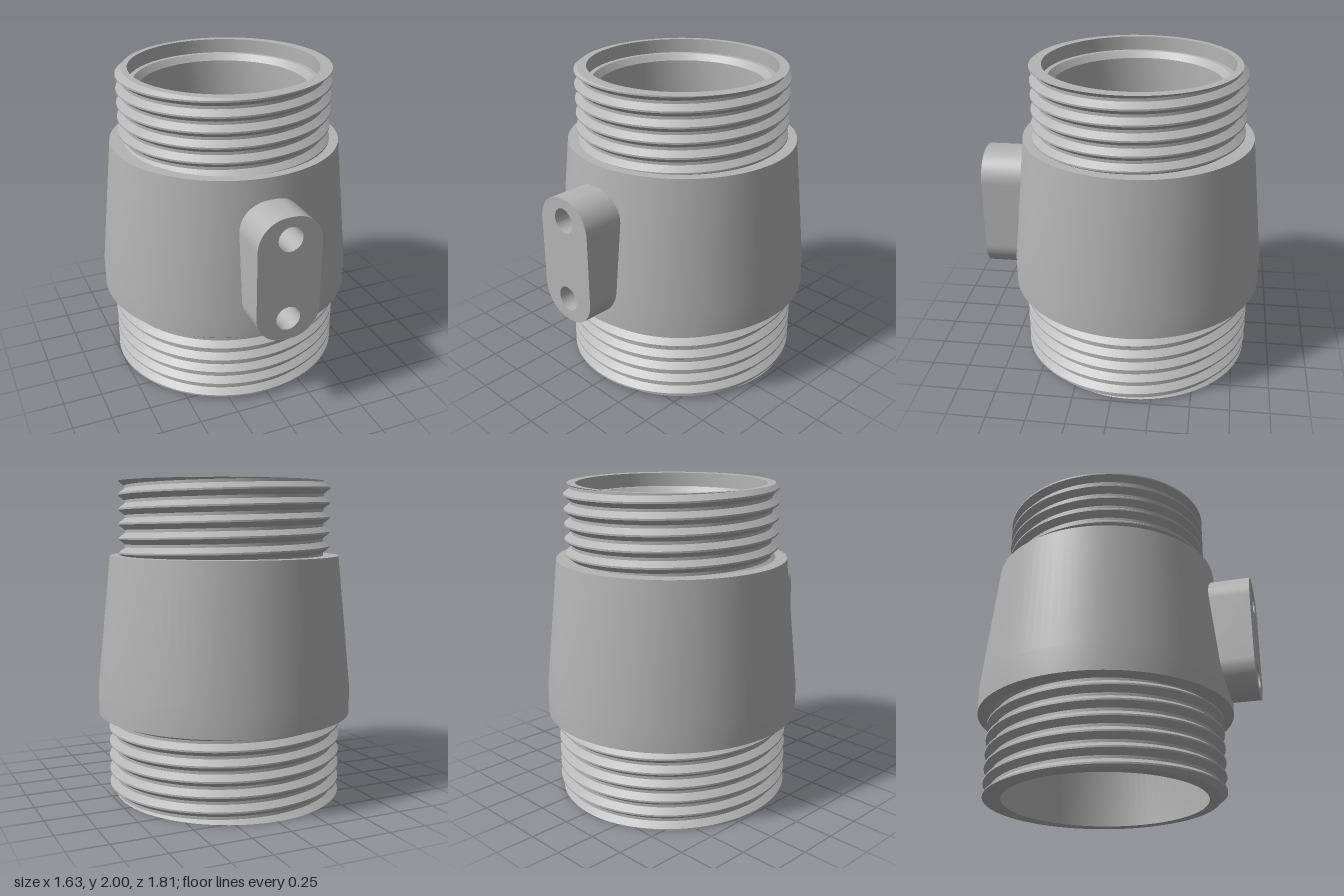
import * as THREE from 'three';
import { toCreasedNormals } from 'three/addons/utils/BufferGeometryUtils.js';

const SEG = 96;
const AXIS_Z = -0.085;
const PITCH = 0.0915;
const CREASE = 0.45;

// Surface of revolution with sharp edges kept sharp
function turned(points) {
  const pts = points.map(([r, y]) => new THREE.Vector2(r, y));
  return toCreasedNormals(new THREE.LatheGeometry(pts, SEG), CREASE);
}

// Helical thread between y0 and y1, closed by flat rings in to the bore.
// crestY is the height of one crest at the front.
function thread(y0, y1, root, crest, bore0, bore1, crestY) {
  const breaks = [-0.06, 0.06, 0.4, 0.6]; // crest flat, then root flat
  const radiusAt = (t) => {
    const d = Math.abs(t - Math.round(t));
    const k = THREE.MathUtils.clamp((d - 0.06) / 0.34, 0, 1);
    return crest + (root - crest) * k;
  };
  const nMin = Math.floor((y0 - crestY) / PITCH) - 2;
  const nMax = Math.ceil((y1 - crestY) / PITCH) + 2;

  // One column of [radius, y] for each angle
  const columns = [];
  for (let i = 0; i <= SEG; i++) {
    const a = (i / SEG) * Math.PI * 2; // 0 at the front, growing towards +x
    const base = crestY + (PITCH * a) / (Math.PI * 2);
    const col = [[bore0, y0]];
    for (let n = nMin; n <= nMax; n++) {
      for (const f of breaks) {
        const y = THREE.MathUtils.clamp(base + (n + f) * PITCH, y0, y1);
        col.push([radiusAt((y - base) / PITCH), y]);
      }
    }
    col.push([bore1, y1]);
    columns.push(col.map(([r, y]) => new THREE.Vector3(r * Math.sin(a), y, r * Math.cos(a))));
  }

  // Skin the columns, leaving out triangles collapsed at the ends
  const pos = [];
  const tri = (a, b, c) => {
    if (new THREE.Triangle(a, b, c).getArea() > 1e-8) {
      for (const p of [a, b, c]) pos.push(p.x, p.y, p.z);
    }
  };
  for (let i = 0; i < SEG; i++) {
    const l = columns[i], r = columns[i + 1];
    for (let j = 0; j < l.length - 1; j++) {
      tri(l[j], r[j], r[j + 1]);
      tri(l[j], r[j + 1], l[j + 1]);
    }
  }
  const g = new THREE.BufferGeometry();
  g.setAttribute('position', new THREE.Float32BufferAttribute(pos, 3));
  return toCreasedNormals(g, CREASE);
}

// Rounded upright pad with two screw holes
function lug(w, y0, y1, r, z0, z1) {
  const s = new THREE.Shape();
  s.moveTo(-w + r, y0);
  s.absarc(w - r, y0 + r, r, -Math.PI / 2, 0);
  s.absarc(w - r, y1 - r, r, 0, Math.PI / 2);
  s.absarc(-w + r, y1 - r, r, Math.PI / 2, Math.PI);
  s.absarc(-w + r, y0 + r, r, Math.PI, Math.PI * 1.5);
  for (const y of [0.735, 1.26]) {
    s.holes.push(new THREE.Path().absarc(0, y, 0.078, 0, Math.PI * 2, true));
  }
  const g = new THREE.ExtrudeGeometry(s, { depth: z1 - z0, bevelEnabled: false, curveSegments: 24 });
  g.translate(0, 0, z0);
  return toCreasedNormals(g, CREASE);
}

export function createModel() {
  const model = new THREE.Group();
  model.name = 'threadedCoupling';
  const metal = new THREE.MeshStandardMaterial({ color: 0xb4b4b4 });
  metal.name = 'greyMetal';

  const add = (name, geometry, z = 0) => {
    const mesh = new THREE.Mesh(geometry, metal);
    mesh.name = name;
    mesh.position.z = z;
    model.add(mesh);
  };

  // Tapered sleeve with a short straight skirt
  add('taperedBody', turned([[0.66, 0.53], [0.815, 0.53], [0.815, 0.7], [0.73, 1.535], [0.6, 1.535]]), AXIS_Z);

  // Inner wall: seat at the top, narrow bore, cone, wide bore
  add('bore', turned([[0.595, 2], [0.595, 1.91], [0.565, 1.91], [0.53, 1.87],
    [0.53, 1.2], [0.64, 0.7], [0.64, 0]]), AXIS_Z);

  add('lowerThread', thread(0, 0.53, 0.71, 0.752, 0.64, 0.66, 0.037), AXIS_Z);
  add('upperThread', thread(1.535, 2, 0.632, 0.672, 0.6, 0.595, 1.988), AXIS_Z);

  add('mountingLug', lug(0.205, 0.59, 1.4, 0.185, 0.6, 0.905));
  return model;
}
